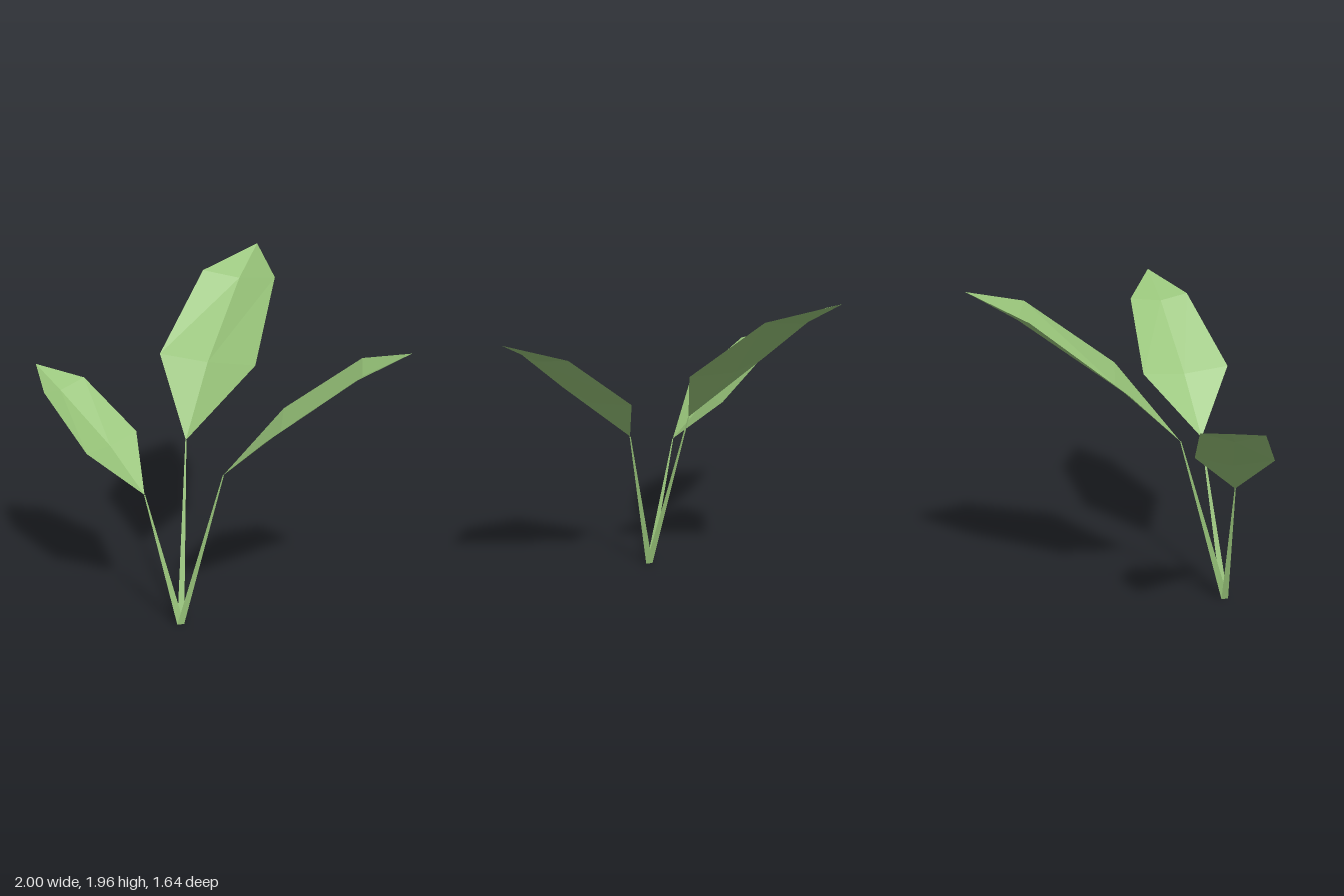
import * as THREE from 'three';

const leafGreen = new THREE.MeshStandardMaterial({ color: 0x96c278, side: THREE.DoubleSide, flatShading: true });
leafGreen.name = 'leafGreen';

const ROOT = [-0.012, 0, 0.46];

// Each leaf: stem end, two cross-sections [left edge, midrib, right edge], tip
const LEAVES = [
  {
    name: 'tallLeaf',
    base: [-0.2, 1.05, 0.23],
    sections: [
      [[-0.62, 1.44, 0.06], [-0.37, 1.41, -0.1], [-0.065, 1.44, -0.2]],
      [[-0.77, 1.84, -0.43], [-0.59, 1.8, -0.57], [-0.34, 1.84, -0.63]],
    ],
    tip: [-0.69, 1.96, -0.82],
  },
  {
    name: 'leftLeaf',
    base: [0.157, 0.95, 0.265],
    sections: [
      [[0.25, 1.28, -0.12], [0.43, 1.245, 0.085], [0.55, 1.28, 0.325]],
      [[0.65, 1.63, -0.32], [0.79, 1.595, -0.165], [0.88, 1.63, -0.02]],
    ],
    tip: [1, 1.74, -0.31],
  },
  {
    name: 'rightLeaf',
    base: [-0.2, 0.8, 0.55],
    sections: [
      [[-0.39, 1.07, 0.805], [-0.45, 1.04, 0.59], [-0.47, 1.07, 0.38]],
      [[-0.75, 1.345, 0.82], [-0.8, 1.312, 0.67], [-0.81, 1.345, 0.49]],
    ],
    tip: [-1, 1.43, 0.695],
  },
];

// Folded blade: fan at the base, panels between sections, fan at the tip
function bladeGeometry({ base, sections, tip }) {
  const [low, high] = sections;
  const corners = [];
  const tri = (...points) => points.forEach((p) => corners.push(...p));
  for (let i = 0; i < 2; i++) {
    tri(base, low[i + 1], low[i]);
    tri(low[i], low[i + 1], high[i + 1]);
    tri(low[i], high[i + 1], high[i]);
    tri(high[i], high[i + 1], tip);
  }
  const geometry = new THREE.BufferGeometry();
  geometry.setAttribute('position', new THREE.Float32BufferAttribute(corners, 3));
  geometry.computeVertexNormals();
  return geometry;
}

// Tapered three-sided stem, sheared so its foot stays flat on the ground
function stemGeometry(end) {
  const height = end[1];
  const geometry = new THREE.CylinderGeometry(0.004, 0.024, height, 3);
  geometry.translate(0, height / 2, 0);
  const shear = new THREE.Matrix4().set(
    1, (end[0] - ROOT[0]) / height, 0, ROOT[0],
    0, 1, 0, 0,
    0, (end[2] - ROOT[2]) / height, 1, ROOT[2],
    0, 0, 0, 1,
  );
  return geometry.applyMatrix4(shear);
}

export function createModel() {
  const plant = new THREE.Group();
  plant.name = 'plant';
  for (const leaf of LEAVES) {
    const group = new THREE.Group();
    group.name = leaf.name;
    const blade = new THREE.Mesh(bladeGeometry(leaf), leafGreen);
    blade.name = 'blade';
    const stem = new THREE.Mesh(stemGeometry(leaf.base), leafGreen);
    stem.name = 'stem';
    group.add(blade, stem);
    plant.add(group);
  }
  return plant;
}
